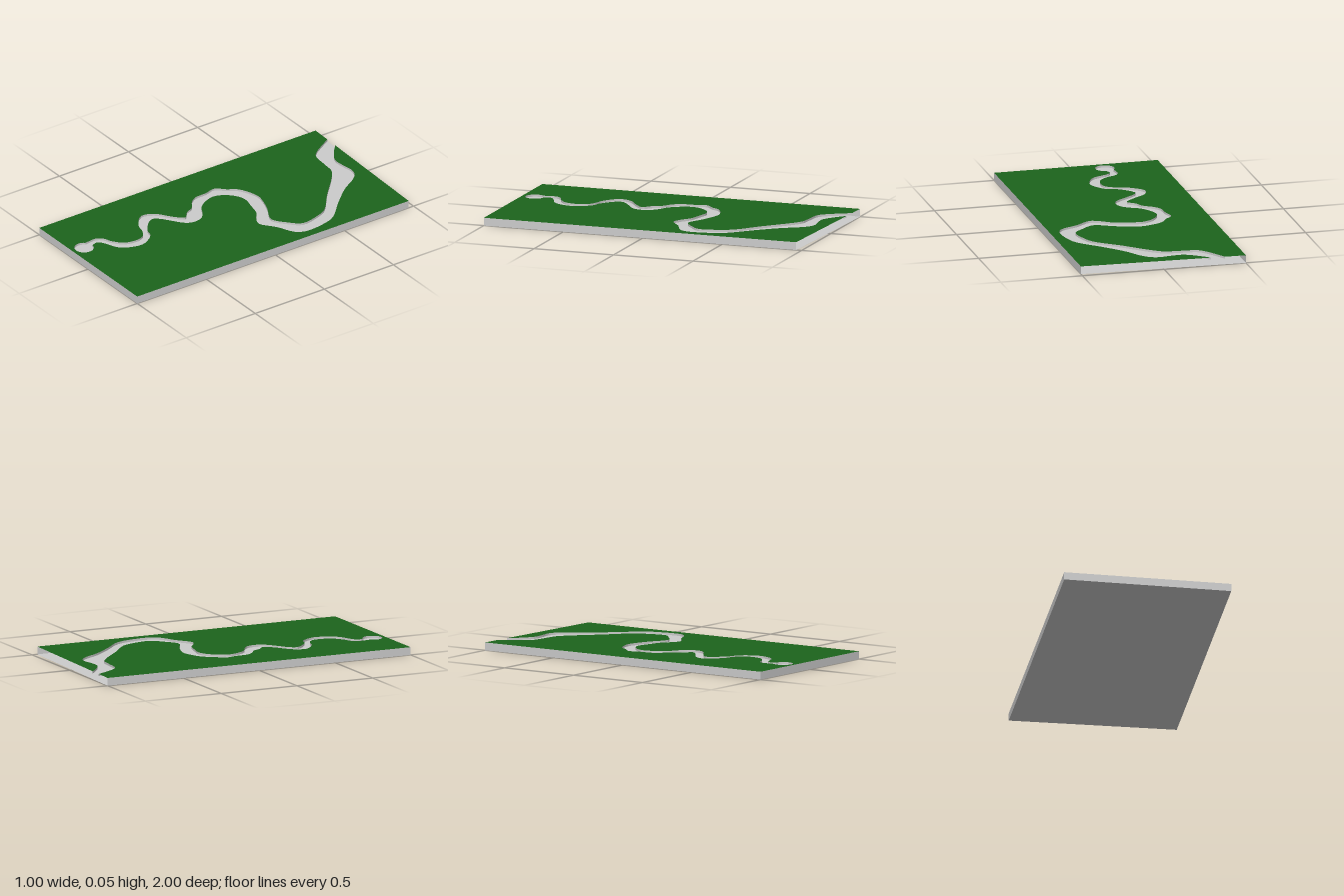
import * as THREE from 'three';

const TOP = 0.047, BED = 0.034;

// river banks as [x, z] control points; west runs mouth -> pool, east runs pool -> mouth
const WEST = [
  [-.374, -.996], [-.326, -.914], [-.29, -.86], [-.25, -.825], [-.13, -.81], [-.055, -.8], [.01, -.755],
  [.16, -.615], [.295, -.5], [.33, -.43], [.353, -.3], [.295, -.235], [.21, -.178], [.093, -.23],
  [.003, -.262], [-.066, -.273], [-.193, -.225], [-.235, -.167], [-.283, -.114], [-.268, -.04],
  [-.262, .04], [-.23, .087], [-.172, .13], [-.15, .178], [-.103, .225], [-.15, .278], [-.246, .352],
  [-.268, .427], [-.183, .506], [-.114, .527], [-.066, .56], [-.05, .61], [-.066, .69], [-.12, .74],
  [-.178, .766], [-.204, .803], [-.198, .88],
];
const EAST = [
  [-.15, .862], [-.162, .83], [-.146, .803], [-.045, .755], [-.008, .707], [.013, .617], [-.019, .548],
  [-.056, .511], [-.109, .495], [-.199, .405], [-.188, .368], [-.05, .262], [-.03, .215], [-.04, .156],
  [-.082, .114], [-.14, .082], [-.183, .029], [-.21, -.05], [-.188, -.114], [-.135, -.167],
  [-.077, -.188], [.008, -.172], [.093, -.15], [.151, -.109], [.209, -.087], [.305, -.151], [.41, -.204],
  [.442, -.262], [.432, -.395], [.4, -.485], [.273, -.617], [.162, -.745], [.103, -.84], [.056, -.888],
  [.003, -.904], [-.077, -.893], [-.151, -.893], [-.236, -.946], [-.289, -.993],
];

const material = (color) =>
  new THREE.MeshStandardMaterial({ color, side: THREE.DoubleSide, flatShading: true });

// smooth line through control points
function smooth(points) {
  const curve = new THREE.CatmullRomCurve3(points.map(([x, z]) => new THREE.Vector3(x, 0, z)));
  return curve.getPoints((points.length - 1) * 4).map((p) => [p.x, p.z]);
}

// flat horizontal sheet with an [x, z] outline
function sheet(name, outline, y, mat) {
  const shape = new THREE.Shape(outline.map(([x, z]) => new THREE.Vector2(x, -z)));
  const mesh = new THREE.Mesh(new THREE.ShapeGeometry(shape).rotateX(-Math.PI / 2), mat);
  mesh.position.y = y;
  mesh.name = name;
  return mesh;
}

// vertical ribbon standing on an open [x, z] line
function ribbon(name, line, y0, y1, mat) {
  const position = [], index = [];
  line.forEach(([x, z], i) => {
    position.push(x, y0, z, x, y1, z);
    if (i) {
      const a = 2 * i - 2;
      index.push(a, a + 1, a + 2, a + 2, a + 1, a + 3);
    }
  });
  const geometry = new THREE.BufferGeometry();
  geometry.setAttribute('position', new THREE.Float32BufferAttribute(position, 3));
  geometry.setIndex(index);
  const flat = geometry.toNonIndexed();
  flat.computeVertexNormals();
  const mesh = new THREE.Mesh(flat, mat);
  mesh.name = name;
  return mesh;
}

export function createModel() {
  const group = new THREE.Group();
  group.name = 'riverTerrain';
  const grey = material(0xcccccc);
  const green = material(0x1c641c);

  // round pool closing the river at the front end
  const pool = [];
  const start = 3.9, end = -1.47, steps = 28;
  for (let i = 1; i < steps; i++) {
    const a = start + ((end - start) * i) / steps;
    pool.push([-.156 + .058 * Math.cos(a), .92 + .058 * Math.sin(a)]);
  }
  const river = [...smooth(WEST), ...pool, ...smooth(EAST)];

  // slab sides; the slanted back is open
  const rim = [[.5, -.965], [.5, 1], [-.5, 1], [-.5, -1]];

  group.add(
    sheet('grass', [[-.5, -1], ...river, ...rim.slice(0, 3)], TOP, green),
    sheet('riverBed', river, BED, grey),
    ribbon('riverBanks', river, BED, TOP, grey),
    ribbon('slabSides', rim, 0, TOP, grey),
    sheet('slabBottom', rim, 0, grey),
  );
  return group;
}
